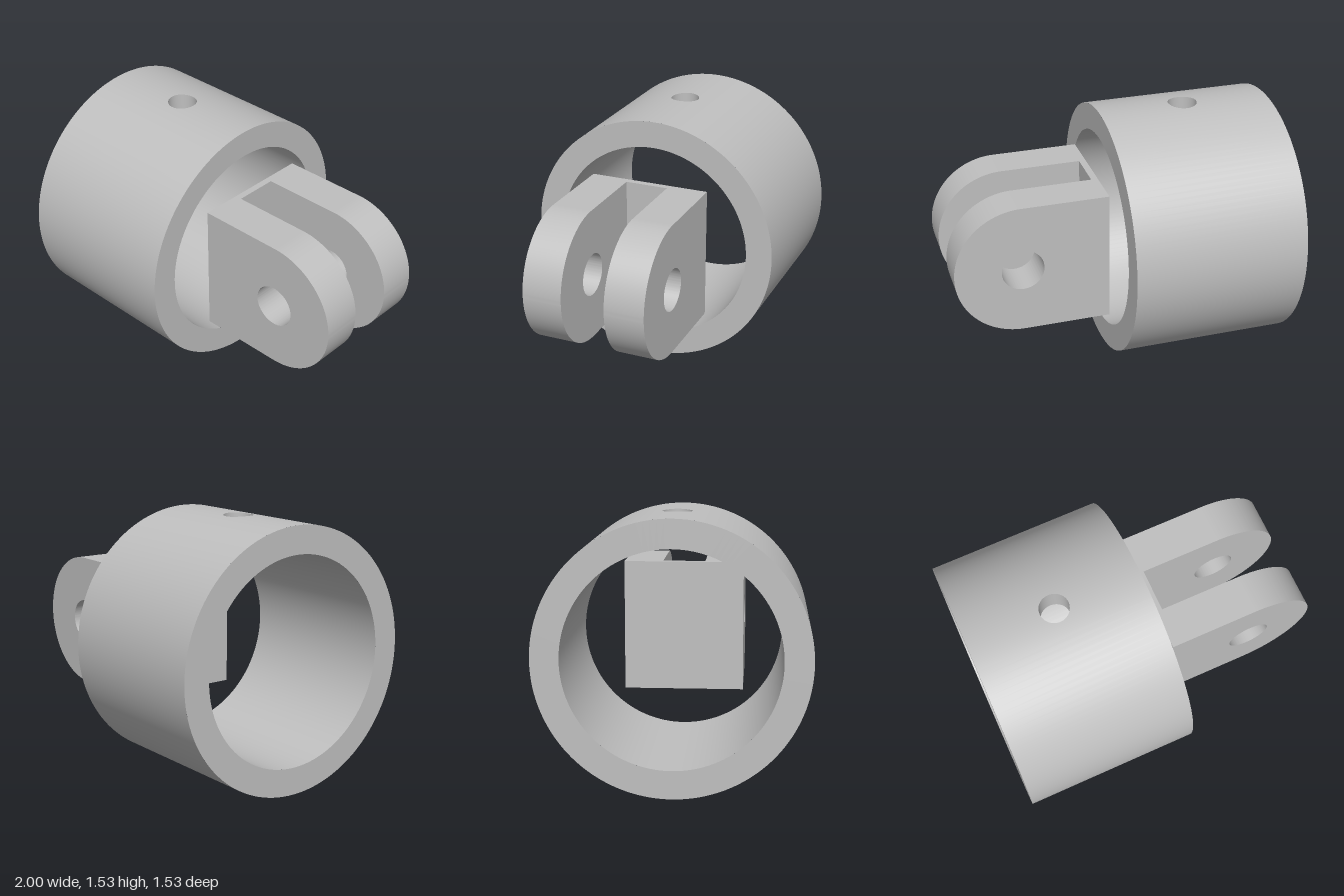
import * as THREE from 'three';
import { ParametricGeometry } from 'three/addons/geometries/ParametricGeometry.js';
import { mergeGeometries, toCreasedNormals } from 'three/addons/utils/BufferGeometryUtils.js';

const CY = 0.764;                  // height of the collar axis
const RO = 0.764, RI = 0.604;      // collar radii
const X0 = -1, X1 = 0.037;         // collar ends
const HOLE_X = (X0 + X1) / 2, HOLE_R = 0.086;
const PATCH = Math.PI / 15;        // half angle of the wall panel around the hole

// Point on a cylinder about the x axis; phi = 0 is the top
const onWall = (R, x, phi, p) => p.set(x, CY + R * Math.cos(phi), R * Math.sin(phi));

// Wall without the top panel
function wall(R, inward) {
  return new ParametricGeometry((u, v, p) => {
    const t = inward ? 1 - u : u;
    onWall(R, X0 + v * (X1 - X0), PATCH + t * 2 * (Math.PI - PATCH), p);
  }, 120, 1);
}

// Top panel, blended from the round hole out to a rectangle
function panel(R, inward) {
  return new ParametricGeometry((u, v, p) => {
    const a = (inward ? -u : u) * Math.PI * 2, c = Math.cos(a), s = Math.sin(a);
    const k = 1 / Math.max(Math.abs(c), Math.abs(s));
    const x = THREE.MathUtils.lerp(HOLE_R * c, (X1 - X0) / 2 * k * c, v);
    const phi = THREE.MathUtils.lerp(Math.asin(HOLE_R * s / R), PATCH * k * s, v);
    onWall(R, HOLE_X + x, phi, p);
  }, 64, 8);
}

// Bore of the radial hole, from the inner to the outer wall
function bore() {
  return new ParametricGeometry((u, v, p) => {
    const a = u * Math.PI * 2, z = HOLE_R * Math.sin(a);
    const R = v < 0.5 ? RI : RO;
    const yi = Math.sqrt(RI * RI - z * z), yo = Math.sqrt(RO * RO - z * z);
    p.set(HOLE_X + HOLE_R * Math.cos(a), CY + yi + (yo - yi) * v, z);
  }, 64, 1);
}

export function createModel() {
  const model = new THREE.Group();
  const grey = new THREE.MeshStandardMaterial({ color: 0xbfbfbf });
  grey.name = 'grey';
  const add = (name, geometry, parent) => {
    const mesh = new THREE.Mesh(geometry, grey);
    mesh.name = name;
    parent.add(mesh);
    return mesh;
  };

  // Collar: thick tube with one hole through the top
  const collar = new THREE.Group();
  collar.name = 'collar';
  model.add(collar);
  add('outerWall', mergeGeometries([wall(RO, false), panel(RO, false)]), collar);
  add('innerWall', mergeGeometries([wall(RI, true), panel(RI, true)]), collar);
  add('screwHole', bore(), collar);
  for (const [name, x, turn] of [['openEnd', X0, -1], ['clevisEnd', X1, 1]]) {
    const ring = new THREE.RingGeometry(RI, RO, 128);
    ring.rotateY(turn * Math.PI / 2);
    ring.translate(x, CY, 0);
    add(name, ring, collar);
  }

  // Clevis: two rounded cheeks with pin holes, joined by a thin web
  const clevis = new THREE.Group();
  clevis.name = 'clevis';
  model.add(clevis);
  const back = 0.08, pinX = 0.601, r = 0.399, slot = 0.13, half = 0.367;
  const outline = new THREE.Shape();
  outline.moveTo(back, -r);
  outline.lineTo(pinX, -r);
  outline.absarc(pinX, 0, r, -Math.PI / 2, Math.PI / 2, false);
  outline.lineTo(back, r);
  outline.closePath();
  outline.holes.push(new THREE.Path().absarc(pinX - 0.003, 0, 0.126, 0, Math.PI * 2, true));
  const cheek = toCreasedNormals(new THREE.ExtrudeGeometry(outline, {
    depth: half - slot, bevelEnabled: false, curveSegments: 64,
  }), 0.5);
  add('frontCheek', cheek, clevis).position.set(0, CY, slot);
  add('backCheek', cheek, clevis).position.set(0, CY, -half);
  add('web', new THREE.BoxGeometry(0.04, 2 * r, 2 * slot), clevis).position.set(back + 0.02, CY, 0);

  return model;
}
